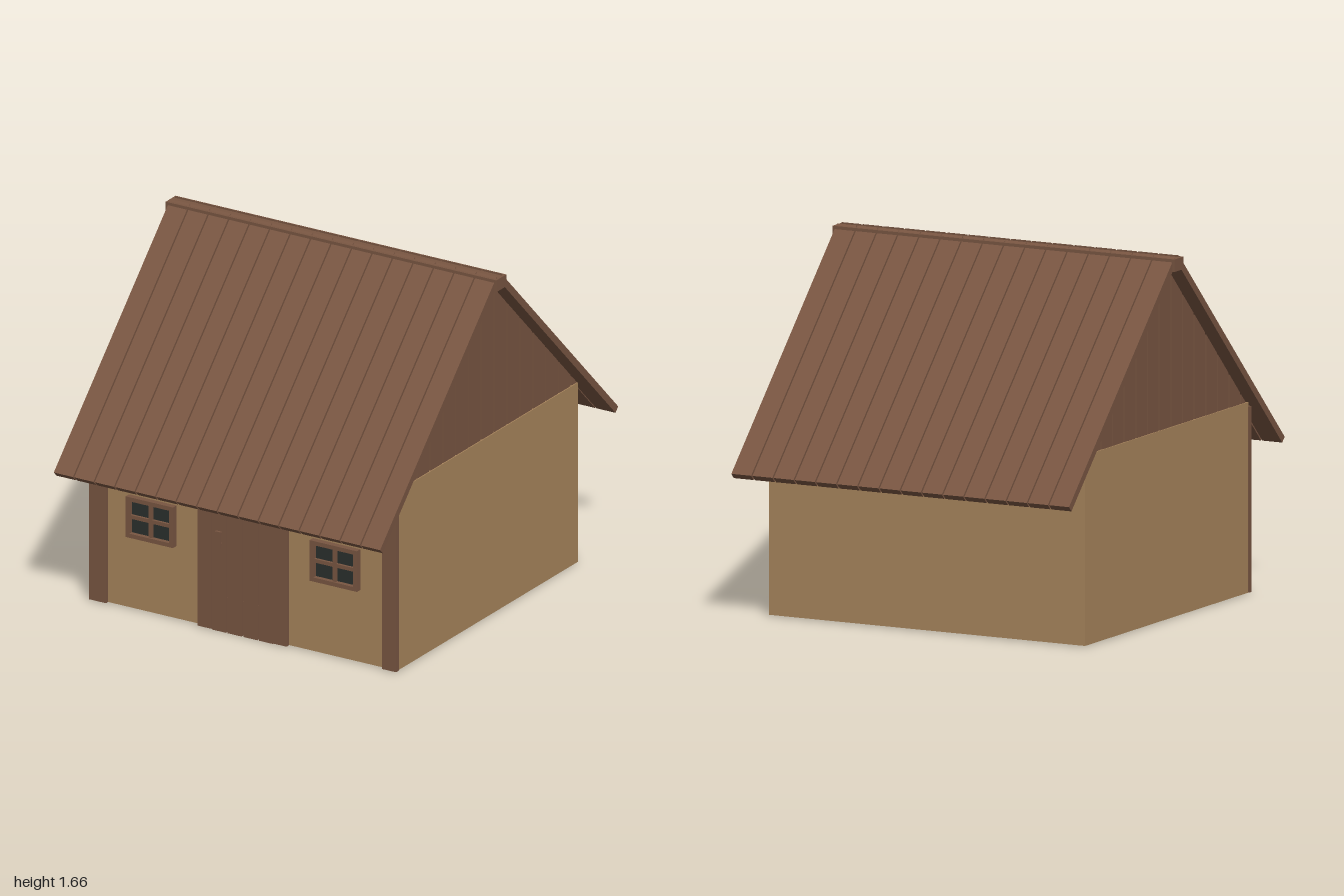
import * as THREE from 'three';

const mat = (color) => new THREE.MeshStandardMaterial({ color, flatShading: true });

export function createModel() {
  const house = new THREE.Group();
  house.name = 'cottage';
  const wood = mat(0x795642);
  const plaster = mat(0xa8855c);
  const glass = mat(0x2b302d);

  // Box given by its two extreme corners
  const box = (name, m, [x0, y0, z0], [x1, y1, z1], parent = house) => {
    const mesh = new THREE.Mesh(new THREE.BoxGeometry(x1 - x0, y1 - y0, z1 - z0), m);
    mesh.position.set((x0 + x1) / 2, (y0 + y1) / 2, (z0 + z1) / 2);
    mesh.name = name;
    parent.add(mesh);
    return mesh;
  };

  // Plank with a side profile of [z, y] points, extruded along x
  const plank = (name, points, x, width, parent) => {
    const shape = new THREE.Shape(points.map(([z, y]) => new THREE.Vector2(z, y)));
    const geo = new THREE.ExtrudeGeometry(shape, { depth: width, bevelEnabled: false });
    geo.translate(0, 0, -width / 2).rotateY(-Math.PI / 2);
    const mesh = new THREE.Mesh(geo, wood);
    mesh.position.x = x;
    mesh.name = name;
    parent.add(mesh);
  };

  const group = (name) => {
    const g = new THREE.Group();
    g.name = name;
    house.add(g);
    return g;
  };

  // Walls and front corner posts
  box('walls', plaster, [-0.805, 0.005, -0.75], [0.805, 0.87, 0.767]);
  box('cornerPostRight', wood, [-0.81, 0.005, 0.762], [-0.72, 0.85, 0.785]);
  box('cornerPostLeft', wood, [0.735, 0.005, 0.762], [0.81, 0.85, 0.785]);

  // Roof: sixteen planks on each slope, and the ridge beam
  const roof = group('roof');
  const pitch = 0.108;
  for (const s of [1, -1]) {
    const profile = [[s * 0.02, 1.66], [s * 1.0, 0.68], [s * 0.977, 0.657], [s * 0.02, 1.614]];
    for (let i = 0; i < 16; i++) {
      plank('roofPlank', profile, (i - 7.5) * pitch, pitch - 0.007, roof);
    }
  }
  roof.children.forEach((p) => { p.position.y = -0.012; });
  roof.position.y = 0.012;
  box('ridgeBeam', wood, [-0.872, 1.595, -0.042], [0.872, 1.652, 0.042]);

  // Gable boards, cut to the roof slope
  const gables = group('gables');
  const top = (z) => 1.62 - Math.abs(z);
  for (const x of [-0.785, 0.785]) {
    for (let i = -7; i <= 7; i++) {
      const a = Math.max(i * pitch - 0.049, -0.75);
      const b = Math.min(i * pitch + 0.049, 0.75);
      const profile = [[a, 0.865], [b, 0.865], [b, Math.max(top(b), 0.87)]];
      if (i === 0) profile.push([0, top(0)]);
      profile.push([a, Math.max(top(a), 0.87)]);
      plank('gableBoard', profile, x, 0.03, gables);
    }
  }

  // Door: frame posts, boards, cross braces and handle
  const door = group('door');
  for (const s of [-1, 1]) {
    const xs = [s * 0.235, s * 0.162].sort((a, b) => a - b);
    box('doorPost', wood, [xs[0], 0.005, 0.762], [xs[1], 0.84, 0.79], door);
  }
  for (let i = 0; i < 4; i++) {
    const x = -0.162 + i * 0.083;
    box('doorBoard', wood, [x, 0, 0.767], [x + 0.074, 0.84, 0.785], door);
  }
  for (const y of [0.15, 0.7]) {
    box('doorBrace', wood, [-0.16, y - 0.016, 0.764], [0.16, y + 0.016, 0.775], door);
  }
  box('handlePlate', wood, [-0.13, 0.41, 0.798], [-0.102, 0.49, 0.81], door);
  for (const y of [0.42, 0.472]) {
    box('handleMount', wood, [-0.126, y, 0.78], [-0.106, y + 0.01, 0.8], door);
  }

  // Windows with four panes
  for (const cx of [-0.485, 0.485]) {
    const win = group('window');
    win.position.set(cx, 0.451, 0);
    box('pane', glass, [-0.115, -0.09, 0.762], [0.115, 0.09, 0.775], win);
    for (const s of [-1, 1]) {
      const x = s * 0.115;
      const y = s * 0.088;
      box('frameSide', wood, [x - 0.01, -0.098, 0.762], [x + 0.01, 0.098, 0.796], win);
      box('frameRail', wood, [-0.105, y - 0.01, 0.762], [0.105, y + 0.01, 0.796], win);
    }
    box('mullion', wood, [-0.009, -0.078, 0.765], [0.009, 0.078, 0.788], win);
    box('crossBar', wood, [-0.105, -0.009, 0.765], [0.105, 0.009, 0.787], win);
  }
  return house;
}
